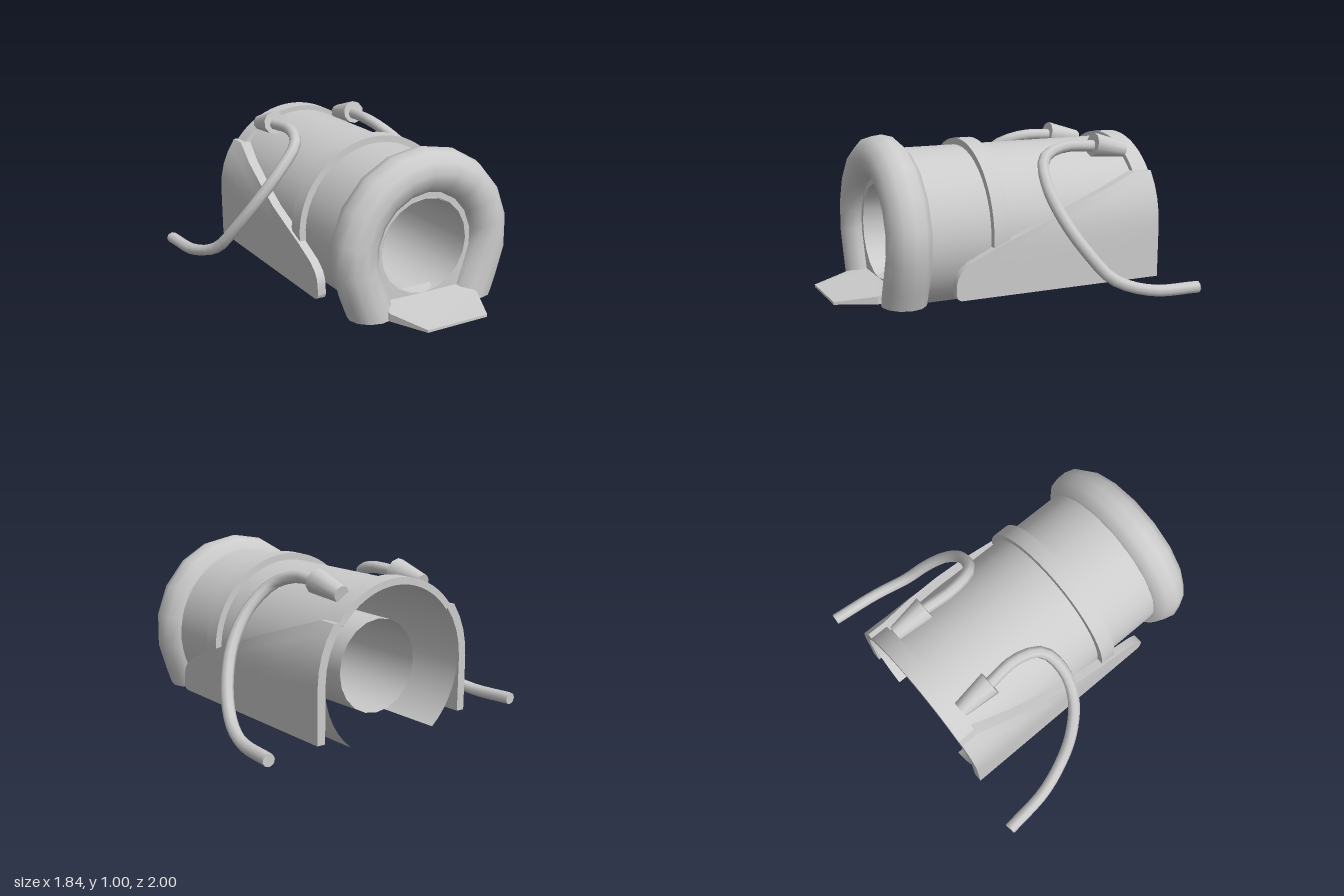
import * as THREE from 'three';
import { toCreasedNormals } from 'three/addons/utils/BufferGeometryUtils.js';

const CY = 0.42; // height of the main axis
const mat = new THREE.MeshStandardMaterial({ color: 0xcccccc, side: THREE.DoubleSide });

function add(parent, name, geometry, x = 0, y = 0, z = 0) {
  const mesh = new THREE.Mesh(geometry, mat);
  mesh.name = name;
  mesh.position.set(x, y, z);
  parent.add(mesh);
  return mesh;
}

// Curved strap around the axis between two angles, from z0 forward by depth
function strap(rIn, rOut, a0, a1, depth) {
  const s = new THREE.Shape();
  s.absarc(0, 0, rOut, a0, a1, false);
  s.absarc(0, 0, rIn, a1, a0, true);
  const g = new THREE.ExtrudeGeometry(s, { depth, bevelEnabled: false, curveSegments: 20 });
  return toCreasedNormals(g, 0.6);
}

// Thick collar: arc over the mouth with straight legs cut level at the bottom
function collarGeometry() {
  const R = 0.44, floor = 0.055 - CY, a = -0.31;
  const path = new THREE.CurvePath();
  const foot = new THREE.Vector3(0.335, floor, 0);
  const pts = [];
  for (let i = 0; i <= 48; i++) {
    const t = a + (Math.PI - 2 * a) * i / 48;
    pts.push(new THREE.Vector3(R * Math.cos(t), R * Math.sin(t), 0));
  }
  pts.unshift(foot);
  pts.push(new THREE.Vector3(-foot.x, floor, 0));
  for (let i = 1; i < pts.length; i++) path.add(new THREE.LineCurve3(pts[i - 1], pts[i]));
  const segs = 14, sides = 12;
  const g = new THREE.TubeGeometry(path, segs, 0.132, sides, false);
  const p = g.attributes.position;
  // Slide both end rings along the legs onto the floor plane
  for (const ring of [0, segs]) {
    const slope = (ring ? -1 : 1) * 0.35;
    for (let j = 0; j <= sides; j++) {
      const k = ring * (sides + 1) + j;
      p.setX(k, p.getX(k) + slope * (floor - p.getY(k)));
      p.setY(k, floor);
    }
  }
  return g;
}

// Side panel: vertical below the axis, wrapping the shell above it
function panelGeometry() {
  const stations = [ // z, bottom, top
    [0.385, 0.13, 0.19], [0.375, 0.11, 0.23], [0.355, 0.1, 0.265], [0.3, 0.1, 0.31], [0.15, 0.1, 0.38],
    [0.05, 0.1, 0.42], [-0.18, 0.1, 0.505], [-0.4, 0.1, 0.59], [-0.62, 0.1, 0.665],
    [-0.84, 0.1, 0.74], [-0.95, 0.1, 0.74],
  ];
  const half = 9, n = half * 2, pos = [], idx = [];
  const wrap = (r, y) => (y <= CY ? r : Math.sqrt(r * r - (y - CY) ** 2));
  for (const [z, lo, hi] of stations) {
    for (let i = 0; i < n; i++) {
      const outer = i < half;
      const y = lo + (hi - lo) * (outer ? i : n - 1 - i) / (half - 1);
      pos.push(wrap(outer ? 0.54 : 0.488, y), y, z);
    }
  }
  const quad = (a, b, c, d) => idx.push(a, b, c, a, c, d);
  for (let s = 0; s < stations.length - 1; s++) {
    for (let i = 0; i < n; i++) {
      const j = (i + 1) % n;
      quad(s * n + i, (s + 1) * n + i, (s + 1) * n + j, s * n + j);
    }
  }
  const last = (stations.length - 1) * n;
  for (let i = 0; i < half - 1; i++) {
    const a = n - 1 - i;
    quad(i, i + 1, a - 1, a);
    quad(last + i, last + a, last + a - 1, last + i + 1);
  }
  const g = new THREE.BufferGeometry();
  g.setAttribute('position', new THREE.Float32BufferAttribute(pos, 3));
  g.setIndex(idx);
  return toCreasedNormals(g, 0.6);
}

// Wedge-shaped lip, thickening toward the mouth
function lipGeometry() {
  const s = new THREE.Shape([
    [-0.24, 0.58], [0.24, 0.58], [0.3, 0.77], [0.2, 1], [-0.2, 1], [-0.3, 0.77],
  ].map(([x, z]) => new THREE.Vector2(x, z)));
  const g = new THREE.ExtrudeGeometry(s, { depth: 1, bevelEnabled: false });
  const p = g.attributes.position;
  for (let i = 0; i < p.count; i++) {
    const z = p.getY(i), bottom = p.getZ(i) > 0.5;
    const top = z > 0.9 ? 0.082 : z > 0.7 ? 0.114 : 0.15;
    p.setXYZ(i, p.getX(i), bottom ? 0.067 : top, z);
  }
  g.computeVertexNormals();
  return g;
}

export function createModel() {
  const model = new THREE.Group();
  model.name = 'cannonHousing';

  // Outer shell, open along the underside
  const gap = 0.67;
  const shell = new THREE.CylinderGeometry(0.485, 0.485, 1.6, 36, 1, true, gap, Math.PI * 2 - gap * 2);
  add(model, 'shell', shell.rotateX(Math.PI / 2), 0, CY, -0.14);

  // Inner barrel and the flat plate around its mouth
  const bore = new THREE.CylinderGeometry(0.285, 0.27, 1.46, 20, 1, true);
  add(model, 'innerBarrel', bore.rotateX(Math.PI / 2), 0, 0.415, -0.07);
  add(model, 'mouthPlate', new THREE.RingGeometry(0.285, 0.42, 20), 0, CY, 0.66);

  // Collar, straps and lip
  add(model, 'collar', collarGeometry(), 0, CY + 0.003, 0.627);
  add(model, 'middleStrap', strap(0.48, 0.525, -0.6, Math.PI + 0.6, 0.1), 0, CY, 0.045);
  add(model, 'rearStrap', strap(0.475, 0.515, 0.67, Math.PI - 0.67, 0.11), 0, CY, -0.95);
  add(model, 'lip', lipGeometry());

  // Mirrored side parts: panel, plug and hose
  const hosePath = new THREE.CatmullRomCurve3([
    [0.295, 0.89, -0.66], [0.28, 0.895, -0.42], [0.33, 0.84, -0.27], [0.46, 0.71, -0.22], [0.6, 0.53, -0.255],
    [0.71, 0.34, -0.36], [0.78, 0.19, -0.49], [0.85, 0.12, -0.7], [0.885, 0.115, -1],
  ].map((p) => new THREE.Vector3(...p)));
  for (const side of [1, -1]) {
    const half = new THREE.Group();
    half.name = side > 0 ? 'leftSide' : 'rightSide';
    half.scale.x = side;
    add(half, 'sidePanel', panelGeometry());
    add(half, 'hose', new THREE.TubeGeometry(hosePath, 28, 0.036, 8, false));
    const end = new THREE.CircleGeometry(0.036, 8).rotateY(Math.PI);
    add(half, 'hoseEnd', end, 0.885, 0.115, -1);
    const plug = toCreasedNormals(new THREE.CylinderGeometry(0.073, 0.048, 0.22, 10), 0.9);
    add(half, 'hosePlug', plug, 0.293, 0.88, -0.727).rotation.x = Math.PI / 2 - 0.19;
    model.add(half);
  }
  return model;
}
